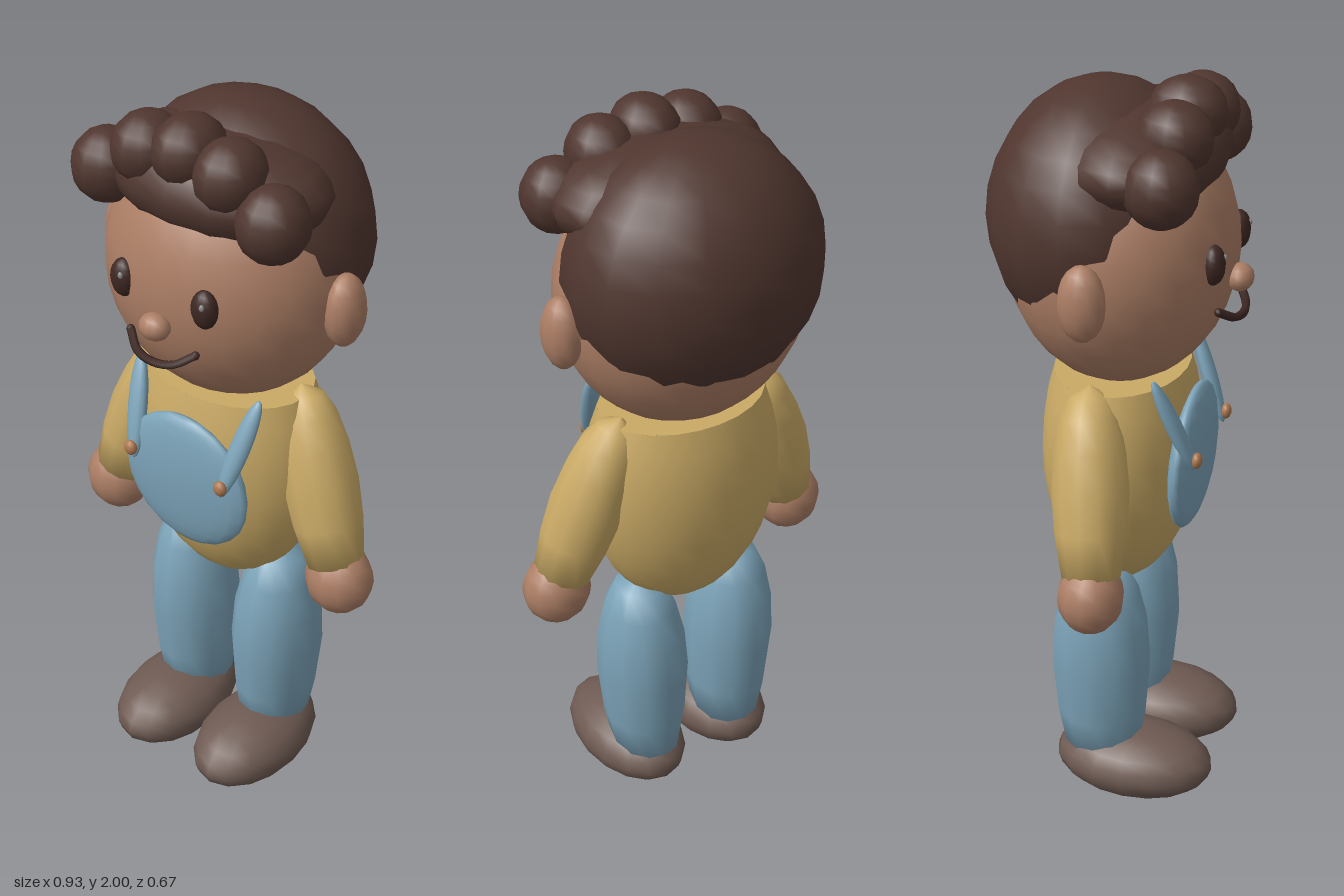
import * as THREE from 'three';

const mat = (name, color, extra = {}) => Object.assign(new THREE.MeshStandardMaterial({ color, ...extra }), { name });

export function createModel() {
  const group = new THREE.Group();
  const skin = mat('skin', 0xac7e65);
  const hair = mat('hair', 0x50362f);
  const dark = mat('eyeBrown', 0x3d2722);
  const shirt = mat('shirtYellow', 0xcaaa66);
  const denim = mat('denimBlue', 0x7ca3b8);
  const leather = mat('shoeBrown', 0x6e5a52);
  const brass = mat('buttonBrass', 0xae7850);
  const glint = mat('eyeGlint', 0x8c8c8c);

  const add = (name, geo, material, pos = [0, 0, 0]) => {
    const mesh = new THREE.Mesh(geo, material);
    mesh.name = name;
    mesh.position.set(...pos);
    group.add(mesh);
    return mesh;
  };
  // Smooth ellipsoid given centre and three radii
  const blob = (name, material, pos, radii, seg = 16, rings = 12) =>
    add(name, new THREE.SphereGeometry(1, seg, rings).scale(...radii), material, pos);
  const lathe = (pts, seg) => new THREE.LatheGeometry(pts.map(p => new THREE.Vector2(...p)), seg);
  // Turn a mesh so its own y axis runs along a to b
  const aim = (mesh, a, b) => mesh.quaternion.setFromUnitVectors(
    new THREE.Vector3(0, 1, 0),
    new THREE.Vector3(...b).sub(new THREE.Vector3(...a)).normalize());

  // Head, hair cap and fringe
  blob('head', skin, [0, 1.56, 0], [0.33, 0.35, 0.29], 24, 16);
  blob('hairCap', hair, [0, 1.645, -0.055], [0.34, 0.33, 0.28], 16, 14);
  blob('fringe', hair, [0, 1.81, 0.06], [0.312, 0.13, 0.2], 16, 12);
  blob('frontCurl', hair, [0, 1.912, 0.16], [0.086, 0.088, 0.1], 12, 10);

  // Face
  blob('nose', skin, [0, 1.505, 0.3], [0.042, 0.035, 0.035], 12, 8);
  const smile = new THREE.CatmullRomCurve3([
    [-0.1, 1.448, 0.272], [-0.055, 1.42, 0.302], [0, 1.413, 0.312],
    [0.055, 1.42, 0.302], [0.1, 1.448, 0.272]].map(p => new THREE.Vector3(...p)));
  add('mouth', new THREE.TubeGeometry(smile, 16, 0.011, 6), dark);
  for (const t of [0, 1]) blob('mouthCorner', dark, smile.getPoint(t).toArray(), [0.011, 0.011, 0.011], 8, 6);

  // Shirt: egg with a flat top at the shoulders
  const torso = [];
  for (let i = 0; i <= 12; i++) {
    const a = -Math.PI / 2 + (i / 12) * (Math.PI / 2 + Math.asin(0.22 / 0.405));
    torso.push([Math.max(0, Math.cos(a)), 1.02 + 0.405 * Math.sin(a)]);
  }
  add('shirtBody', lathe(torso, 24).scale(0.275, 1, 0.203), shirt);
  add('shirtTop', new THREE.CircleGeometry(0.839, 24).rotateX(-Math.PI / 2).scale(0.275, 1, 0.203), shirt, [0, 1.24, 0]);

  // Overall bib
  const bib = blob('bib', denim, [0, 0.995, 0.19], [0.195, 0.196, 0.042], 20, 12);
  bib.rotation.x = 0.03;

  const sleeve = [[0, 0], [0.076, 0], [0.093, 0.11], [0.1, 0.22], [0.093, 0.32], [0.078, 0.4], [0.052, 0.455], [0, 0.485]];
  const trouser = [[0, 0.12], [0.09, 0.12], [0.11, 0.25], [0.122, 0.41], [0.115, 0.53], [0.094, 0.63], [0.062, 0.7], [0, 0.725]];

  for (const s of [1, -1]) {
    const side = s > 0 ? 'left' : 'right';
    // Head details
    blob(side + 'Ear', skin, [s * 0.34, 1.535, 0.003], [0.05, 0.097, 0.06], 12, 10);
    blob(side + 'Eye', dark, [s * 0.123, 1.58, 0.263], [0.036, 0.051, 0.03], 12, 10);
    blob(side + 'EyeGlint', glint, [s * 0.123 + 0.01, 1.598, 0.288], [0.007, 0.009, 0.006], 8, 6);
    blob(side + 'InnerCurl', hair, [s * 0.122, 1.885, 0.163], [0.088, 0.09, 0.096], 12, 10);
    blob(side + 'OuterCurl', hair, [s * 0.246, 1.803, 0.167], [0.09, 0.095, 0.092], 12, 10);

    // Arm and hand
    const wrist = [s * 0.357, 0.8, 0.027], shoulder = [s * 0.2, 1.25, -0.025];
    aim(add(side + 'Sleeve', lathe(sleeve, 12), shirt, wrist), wrist, shoulder);
    blob(side + 'Hand', skin, [s * 0.373, 0.753, 0.03], [0.092, 0.098, 0.085], 12, 10);

    // Strap and button
    const low = [s * 0.14, 1.025, 0.232], high = [s * 0.188, 1.28, 0.133];
    const mid = low.map((v, i) => (v + high[i]) / 2);
    aim(blob(side + 'Strap', denim, mid, [0.028, 0.14, 0.02], 12, 10), low, high);
    blob(side + 'Button', brass, [s * 0.145, 1.056, 0.238], [0.019, 0.021, 0.014], 10, 8);

    // Leg and shoe
    const leg = add(side + 'Leg', lathe(trouser, 12).scale(1, 1, 1.12), denim, [s * 0.132, 0, -0.018]);
    leg.rotation.z = -s * 0.025;
    blob(side + 'Shoe', leather, [s * 0.14, 0.1, 0.075], [0.14, 0.098, 0.22], 16, 10);
  }
  return group;
}
